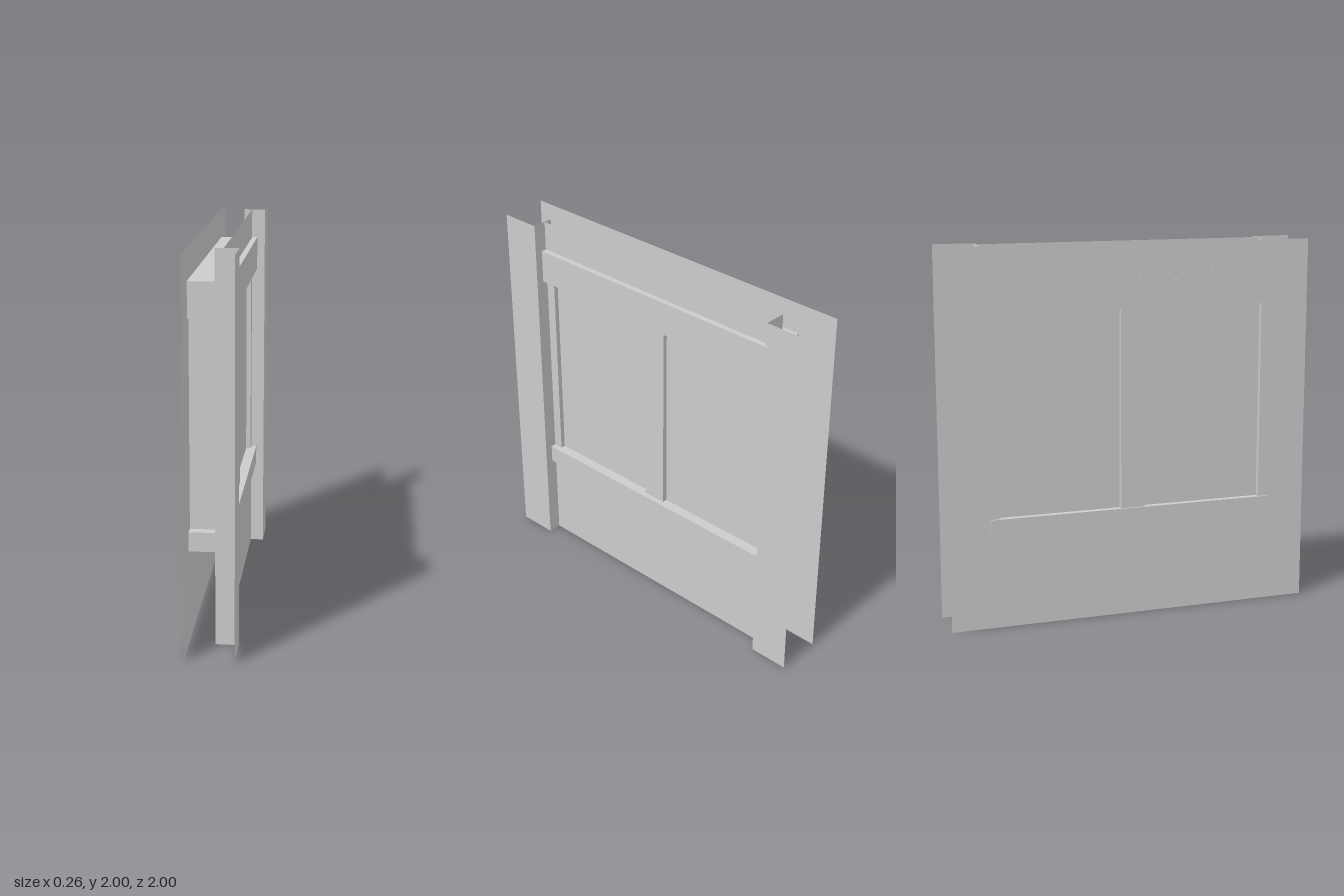
import * as THREE from 'three';

const solid = new THREE.MeshStandardMaterial({ color: 0xcccccc, flatShading: true });
const thin = new THREE.MeshStandardMaterial({ color: 0xcccccc, flatShading: true, side: THREE.DoubleSide });

// Main dimensions
const BACK = -0.122, FACE = 0.055, STRIP = 0.128; // x of the wall skins and edge strips
const INNER = 0.784;                              // half width between the edge strips
const SILL = 0.59, HEAD = 1.66;                   // window opening heights
const JAMB = 0.732, MULLION = 0.066;              // window opening edges in z

export function createModel() {
  const group = new THREE.Group();

  const add = (name, geometry, material) => {
    const mesh = new THREE.Mesh(geometry, material);
    mesh.name = name;
    group.add(mesh);
    return mesh;
  };

  const rectangle = (target, z0, z1, y0, y1) => {
    target.moveTo(z0, y0);
    target.lineTo(z1, y0);
    target.lineTo(z1, y1);
    target.lineTo(z0, y1);
    target.closePath();
    return target;
  };

  // Thin sheet facing along x, optionally pierced by the two windows
  const sheet = (name, x, z0, z1, y0, y1, pierced = false) => {
    const shape = rectangle(new THREE.Shape(), z0, z1, y0, y1);
    if (pierced) {
      shape.holes.push(rectangle(new THREE.Path(), -JAMB, -MULLION, SILL, HEAD));
      shape.holes.push(rectangle(new THREE.Path(), MULLION, JAMB, SILL, HEAD));
    }
    const geometry = new THREE.ShapeGeometry(shape);
    geometry.rotateY(-Math.PI / 2);
    add(name, geometry, thin).position.x = x;
  };

  // Thin upright sheet facing along z
  const crossSheet = (name, z, x0, x1, y0, y1) => {
    const geometry = new THREE.PlaneGeometry(x1 - x0, y1 - y0);
    add(name, geometry, thin).position.set((x0 + x1) / 2, (y0 + y1) / 2, z);
  };

  // Beam running the width of the wall
  const beam = (name, x0, x1, y0, y1) => {
    const geometry = new THREE.BoxGeometry(x1 - x0, y1 - y0, INNER * 2);
    add(name, geometry, solid).position.set((x0 + x1) / 2, (y0 + y1) / 2, 0);
  };

  // Wall skins
  sheet('backWall', BACK, -1, 1, 0, 2, true);
  sheet('faceWall', FACE, -INNER, INNER, 0, 2, true);

  // Lintel and sill
  beam('lintel', -0.124, 0.085, HEAD, 1.84);
  beam('sill', -0.132, 0.085, 0.49, SILL);

  for (const side of [-1, 1]) {
    // Edge strips and their returns
    sheet('edgeStrip', STRIP, Math.min(side, side * INNER), Math.max(side, side * INNER), 0, 2);
    crossSheet('edgeReturn', side * INNER, 0.01, STRIP, 0, 2);

    // Window reveals and the panes on both faces
    crossSheet('jambReveal', side * JAMB, BACK, FACE, SILL, HEAD);
    crossSheet('mullionReveal', side * MULLION, BACK, FACE, SILL, HEAD);
    const z0 = side > 0 ? MULLION : -JAMB, z1 = side > 0 ? JAMB : -MULLION;
    sheet('backPane', BACK + 0.026, z0, z1, SILL, HEAD);
    sheet('facePane', FACE - 0.026, z0, z1, SILL, HEAD);
  }

  return group;
}
